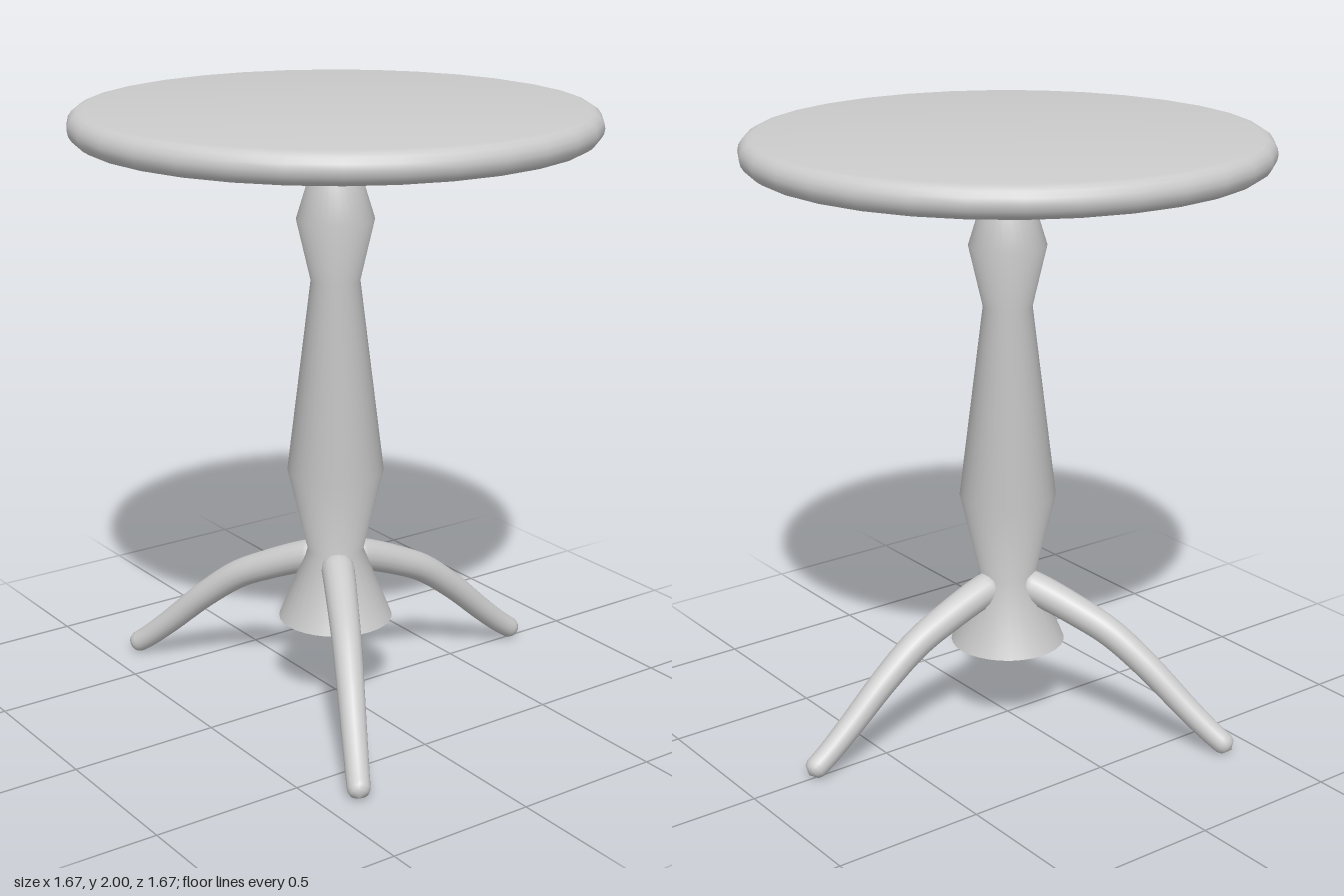
import * as THREE from 'three';
import { toCreasedNormals } from 'three/addons/utils/BufferGeometryUtils.js';

const SIDES = 32;
const material = new THREE.MeshStandardMaterial({ color: 0xcccccc });

// Turned part from a bottom-to-top profile of [radius, height]
function turned(name, profile) {
  const points = profile.map(([r, y]) => new THREE.Vector2(r, y));
  const mesh = new THREE.Mesh(toCreasedNormals(new THREE.LatheGeometry(points, SIDES), 0.7), material);
  mesh.name = name;
  return mesh;
}

// Curved, tapering leg that runs outwards along +z, with rounded ends
function legGeometry() {
  const curve = new THREE.CatmullRomCurve3([
    [0.05, 0.50], [0.12, 0.481], [0.25, 0.43], [0.37, 0.372],
    [0.50, 0.275], [0.64, 0.15], [0.73, 0.075], [0.797, 0.028],
  ].map(([z, y]) => new THREE.Vector3(0, y, z)));
  const rings = 60, sides = 16;
  const geometry = new THREE.TubeGeometry(curve, rings, 1, sides, false);
  const position = geometry.attributes.position;
  const length = curve.getLength();
  const centre = new THREE.Vector3(), v = new THREE.Vector3();
  for (let i = 0; i < position.count; i++) {
    const t = Math.floor(i / (sides + 1)) / rings;
    curve.getPointAt(t, centre);
    const fromEnd = Math.min(1, Math.min(t, 1 - t) * length / 0.035);
    const round = Math.sqrt(1 - (1 - fromEnd) ** 2);
    const radius = THREE.MathUtils.lerp(0.056, 0.036, t) * round;
    v.fromBufferAttribute(position, i).sub(centre).multiplyScalar(radius).add(centre);
    position.setXYZ(i, v.x, v.y, v.z);
  }
  return toCreasedNormals(geometry, 0.9);
}

export function createModel() {
  const model = new THREE.Group();
  model.name = 'pedestalTable';

  // Round top with a half-round rim
  const rim = [];
  for (let i = 0; i <= 8; i++) {
    const a = -Math.PI / 2 + (i / 8) * Math.PI;
    rim.push([0.787 + 0.05 * Math.cos(a), 1.95 + 0.05 * Math.sin(a)]);
  }
  model.add(turned('tabletop', [[0, 1.9], ...rim, [0, 2]]));

  // Pedestal and the flared collar under the top
  model.add(turned('column', [
    [0, 0.28], [0.19, 0.28], [0.093, 0.52], [0.159, 0.8],
    [0.08, 1.44], [0.126, 1.64], [0.083, 1.78], [0, 1.78],
  ]));
  model.add(turned('collar', [[0, 1.77], [0.098, 1.77], [0.157, 1.865], [0, 1.9]]));

  // Three legs: one at the back, two at the front
  const leg = legGeometry();
  ['backLeg', 'frontLeftLeg', 'frontRightLeg'].forEach((name, i) => {
    const mesh = new THREE.Mesh(leg, material);
    mesh.name = name;
    mesh.rotation.y = Math.PI + i * Math.PI * 2 / 3;
    model.add(mesh);
  });
  // Rest the feet on the ground
  const bottom = new THREE.Box3().setFromObject(model, true).min.y;
  model.children.filter((c) => c.name.endsWith('Leg')).forEach((c) => { c.position.y = -bottom; });
  return model;
}
